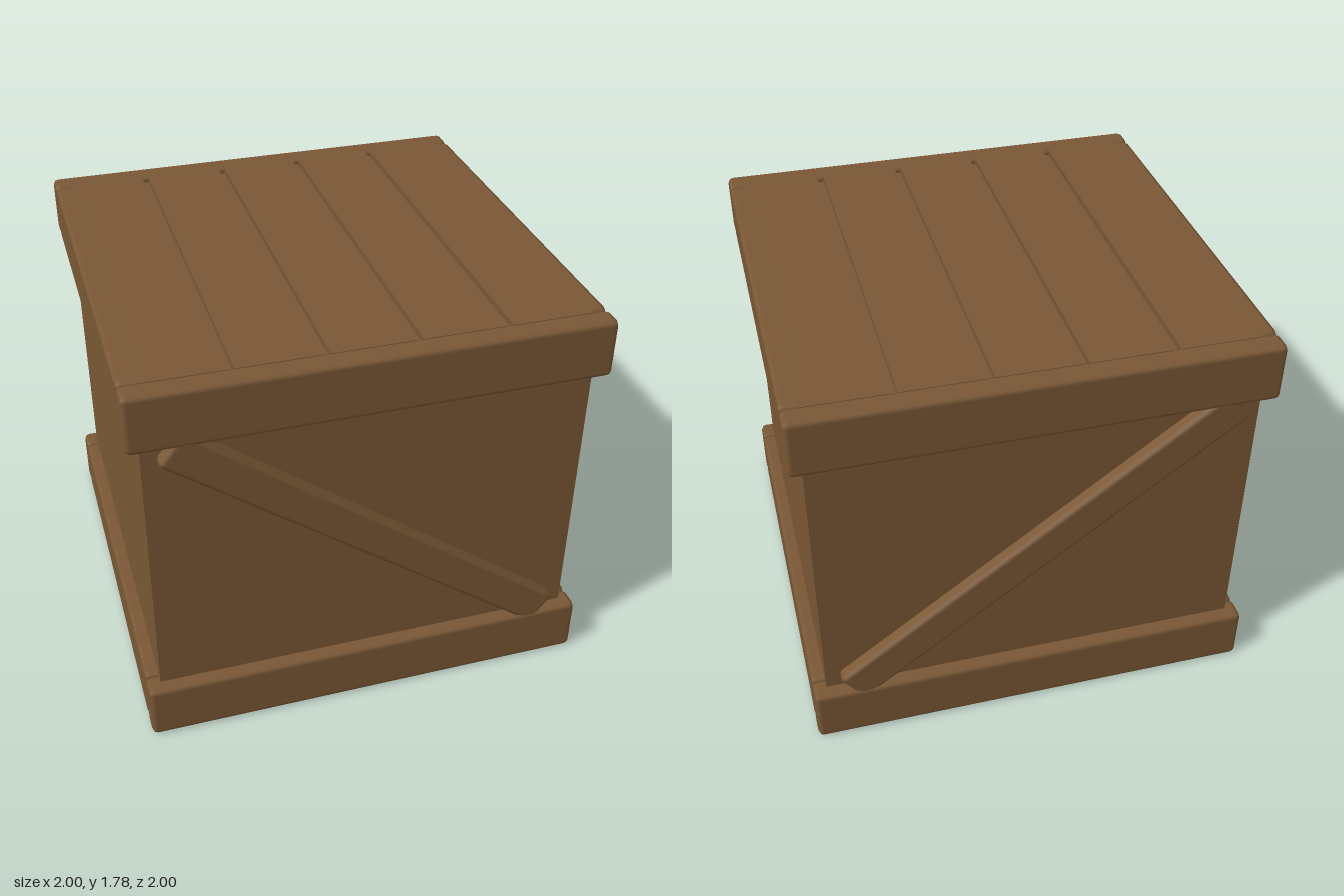
import * as THREE from 'three';
import { RoundedBoxGeometry } from 'three/addons/geometries/RoundedBoxGeometry.js';

const HEIGHT = 1.78;
const BEAM_H = 0.26;
const BEAM_T = 0.11;
const BEVEL = 0.024;

export function createModel() {
  const crate = new THREE.Group();
  crate.name = 'crate';
  const wood = new THREE.MeshStandardMaterial({ color: 0x7a5835 });
  wood.name = 'brown wood';

  const add = (name, geometry, x, y, z) => {
    const mesh = new THREE.Mesh(geometry, wood);
    mesh.name = name;
    mesh.position.set(x, y, z);
    crate.add(mesh);
    return mesh;
  };

  // Plain inner box, slightly recessed at the bottom and under the lid
  add('body', new THREE.BoxGeometry(1.88, 1.72, 1.88), 0, 0.89, 0);

  // Bevelled beams around the bottom and top
  const longBeam = new RoundedBoxGeometry(2, BEAM_H, BEAM_T, 1, BEVEL);
  const sideBeam = new RoundedBoxGeometry(BEAM_T, BEAM_H, 2 - 2 * BEAM_T, 1, BEVEL);
  for (const [level, y] of [['bottom', BEAM_H / 2], ['top', HEIGHT - BEAM_H / 2]]) {
    for (const s of [1, -1]) {
      add(`${level}${s > 0 ? 'Front' : 'Back'}Beam`, longBeam, 0, y, s * (1 - BEAM_T / 2));
      add(`${level}${s > 0 ? 'Left' : 'Right'}Beam`, sideBeam, s * (1 - BEAM_T / 2), y, 0);
    }
  }

  // Five lid planks with narrow gaps
  const plank = new THREE.BoxGeometry(0.347, 0.05, 1.81);
  for (let i = 0; i < 5; i++) {
    add(`lidPlank${i + 1}`, plank, (i - 2) * 0.378, HEIGHT - 0.026, 0);
  }

  // Diagonal braces on the front and back
  const brace = new RoundedBoxGeometry(2.08, 0.176, 0.1, 1, BEVEL);
  for (const s of [1, -1]) {
    const mesh = add(s > 0 ? 'frontBrace' : 'backBrace', brace, 0, 0.89, s * 0.945);
    mesh.rotation.z = -0.645;
  }

  return crate;
}
